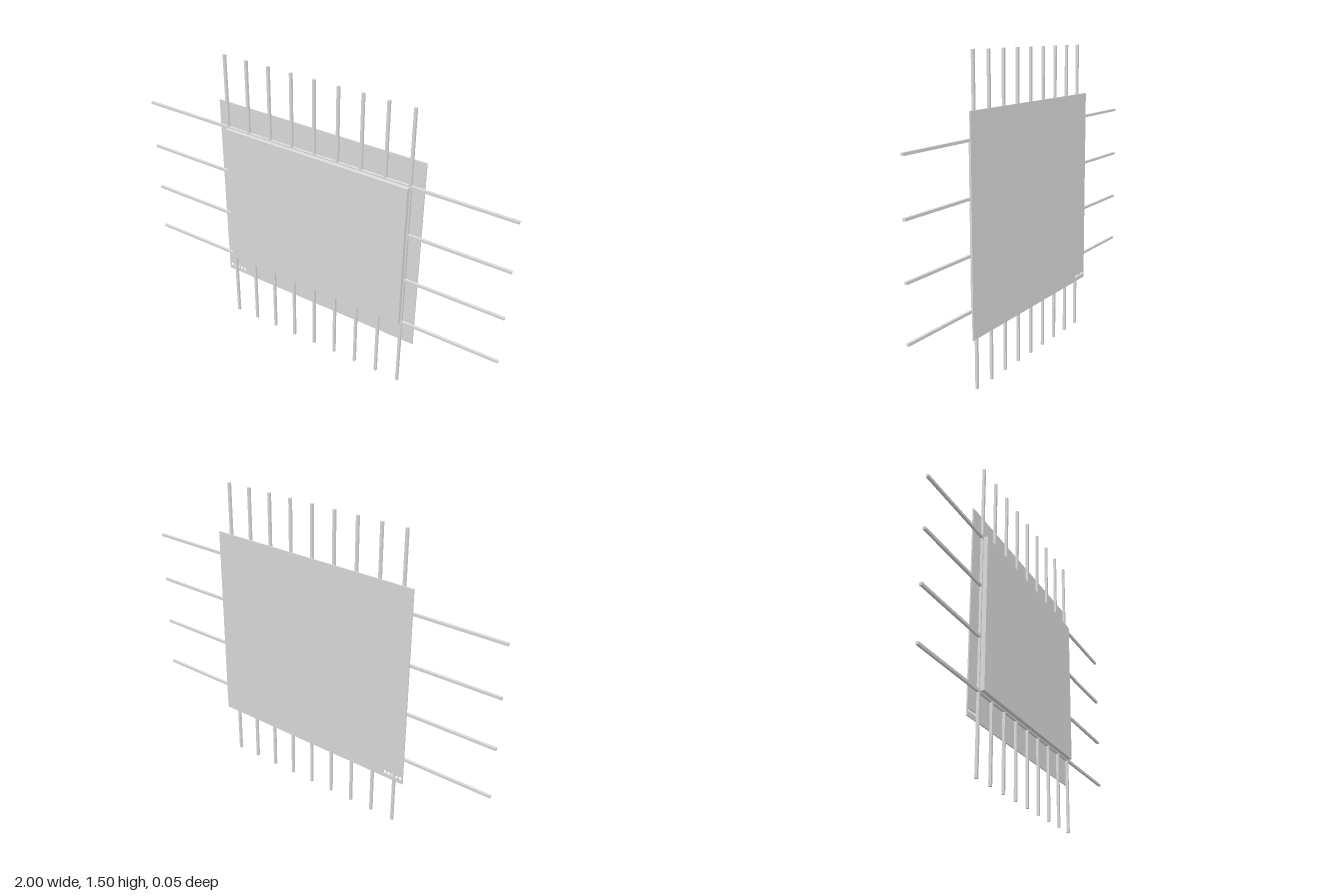
import * as THREE from 'three';

export function createModel() {
  const model = new THREE.Group();
  const grey = new THREE.MeshStandardMaterial({ color: 0xdcdcdc });
  grey.name = 'light grey';

  const add = (name, geometry, x, y, z) => {
    const mesh = new THREE.Mesh(geometry, grey);
    mesh.name = name;
    mesh.position.set(x, y, z);
    model.add(mesh);
  };

  // Raised front panel, its back face on the centre plane of the rods
  add('frontPanel', new THREE.BoxGeometry(1, 0.75, 0.027), 0, 0.75, 0.0115);

  // Thin back plate with a row of small holes in one lower corner
  const outline = new THREE.Shape();
  outline.moveTo(-0.561, 0.25);
  outline.lineTo(0.561, 0.25);
  outline.lineTo(0.561, 1.25);
  outline.lineTo(-0.561, 1.25);
  outline.closePath();
  for (let i = 0; i < 5; i++) {
    const hole = new THREE.Path();
    hole.absarc(-0.547 + i * 0.0213, 0.278, 0.009, 0, Math.PI * 2, true);
    outline.holes.push(hole);
  }
  const plate = new THREE.ExtrudeGeometry(outline, { depth: 0.006, bevelEnabled: false, curveSegments: 8 });
  add('backPlate', plate, 0, 0, -0.025);

  // Grid of square rods crossing behind the panel
  const width = 0.0125;
  const upright = new THREE.BoxGeometry(width, 1.5, width);
  const crossbar = new THREE.BoxGeometry(2, width, width);
  for (let i = 0; i < 9; i++) add('verticalRod', upright, -0.5 + i * 0.125, 0.75, -0.002);
  for (let i = 0; i < 4; i++) add('horizontalRod', crossbar, 0, 0.375 + i * 0.25, -0.002);

  return model;
}
